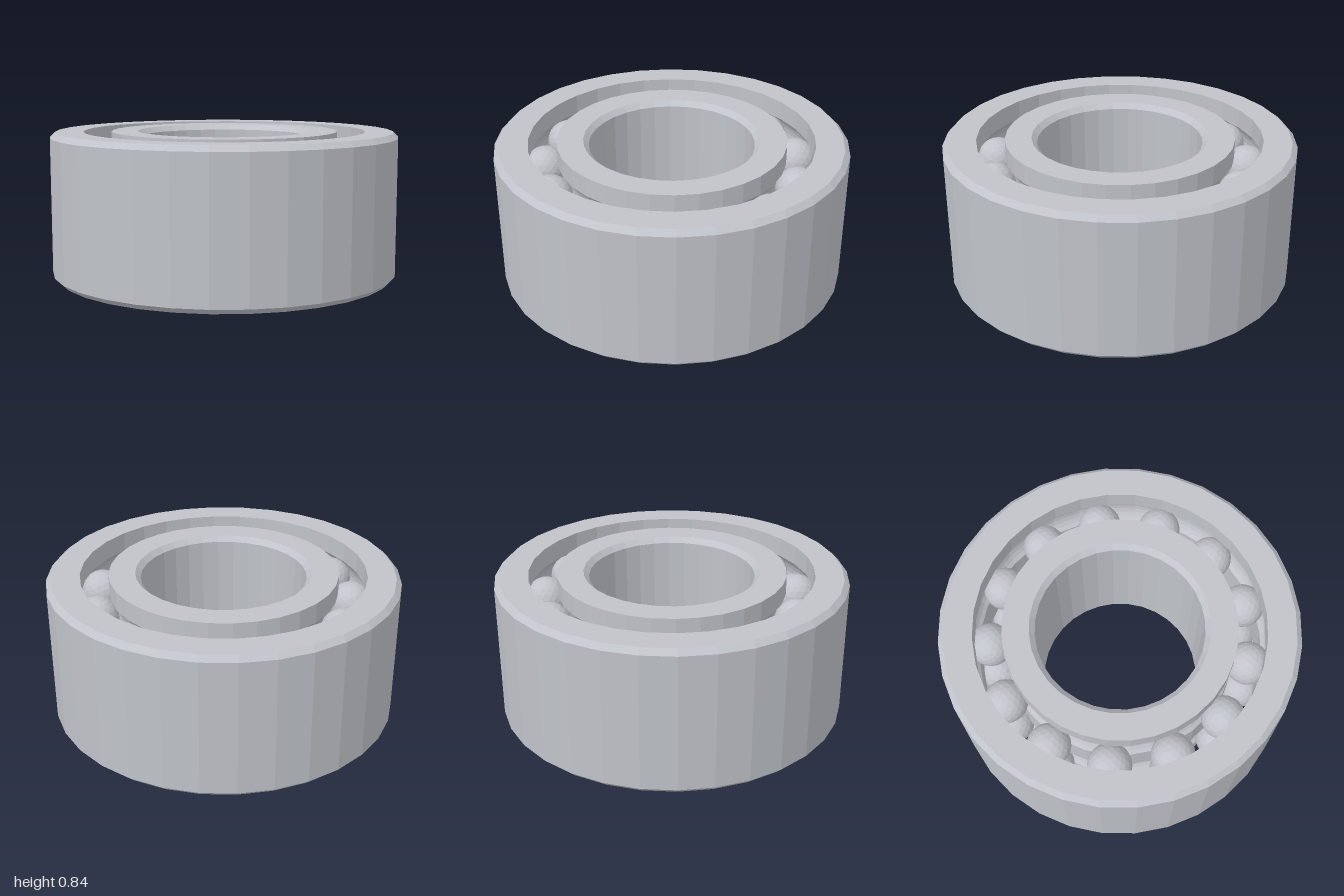
import * as THREE from 'three';

const HEIGHT = 0.84;
const SIDES = 32;
const BALLS = 13;
const PITCH = 0.73; // radius of the ball circle
const BALL = 0.123;
const ROWS = [HEIGHT / 4, (HEIGHT * 3) / 4];

// Groove cross-section from low to high, cut into a wall of the given radius
function groove(y, wall) {
  const dir = Math.sign(wall - PITCH);
  const r = BALL + 0.003;
  const half = Math.acos(Math.abs(wall - PITCH) / r);
  const points = [];
  for (let i = 0; i <= 8; i++) {
    const a = -half + (2 * half * i) / 8;
    points.push([PITCH + dir * r * Math.cos(a), y + r * Math.sin(a)]);
  }
  return points;
}

// Turned ring from a closed counter-clockwise profile of [radius, y]
function ring(name, profile, material) {
  const points = [...profile, profile[0]].map(([r, y]) => new THREE.Vector2(r, y));
  const mesh = new THREE.Mesh(new THREE.LatheGeometry(points, SIDES), material);
  mesh.name = name;
  return mesh;
}

export function createModel() {
  const model = new THREE.Group();
  model.name = 'ballBearing';

  const steel = new THREE.MeshStandardMaterial({ color: 0xc0c3c9, flatShading: true });
  steel.name = 'steel';

  // Outer race: chamfered outside, two grooves inside
  const outerWall = ROWS.flatMap((y) => groove(y, 0.81)).reverse();
  model.add(ring('outerRace', [
    [0.81, 0], [0.97, 0], [1, 0.03], [1, HEIGHT - 0.03], [0.97, HEIGHT], [0.81, HEIGHT],
    ...outerWall,
  ], steel));

  // Inner race: two grooves outside, chamfered bore
  const innerWall = ROWS.flatMap((y) => groove(y, 0.65));
  model.add(ring('innerRace', [
    [0.5, 0], [0.65, 0], ...innerWall, [0.65, HEIGHT], [0.5, HEIGHT],
    [0.47, HEIGHT - 0.03], [0.47, 0.03],
  ], steel));

  // Two rows of balls
  const ballGeometry = new THREE.IcosahedronGeometry(BALL, 3);
  ROWS.forEach((y, row) => {
    const group = new THREE.Group();
    group.name = row === 0 ? 'lowerBallRow' : 'upperBallRow';
    for (let i = 0; i < BALLS; i++) {
      const a = (i / BALLS) * Math.PI * 2;
      const ball = new THREE.Mesh(ballGeometry, steel);
      ball.name = 'ball';
      ball.position.set(PITCH * Math.cos(a), y, PITCH * Math.sin(a));
      group.add(ball);
    }
    model.add(group);
  });

  return model;
}
